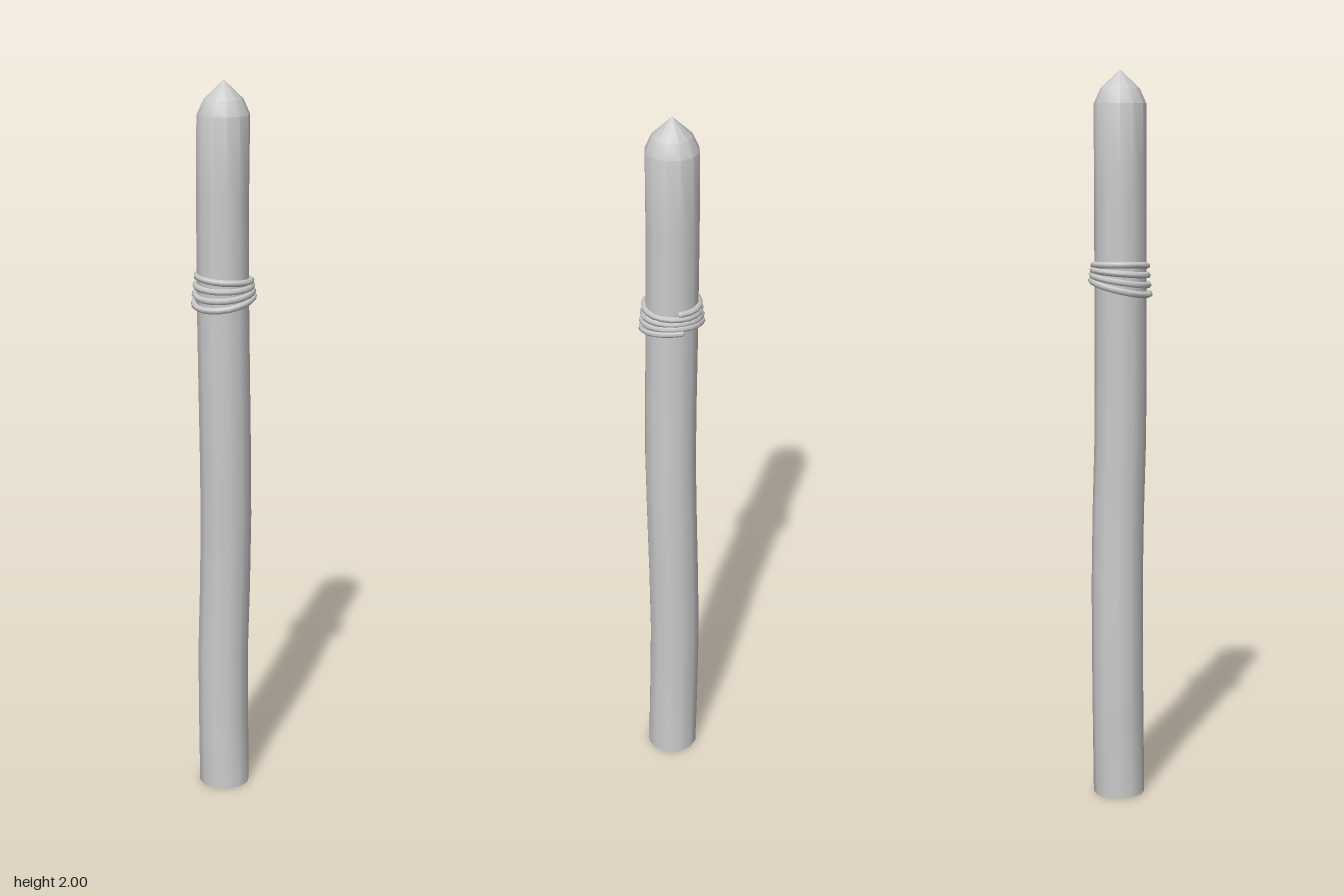
import * as THREE from 'three';
import { toCreasedNormals } from 'three/addons/utils/BufferGeometryUtils.js';

const grey = new THREE.MeshStandardMaterial({ color: 0xcccccc });

// Slight sideways sway of the trunk: [y, x offset, z offset]
const sway = new THREE.CatmullRomCurve3([
  [0, 0, -0.003], [0.4, -0.007, -0.004], [0.7, 0, -0.008], [1.0, 0.005, -0.002],
  [1.4, 0, 0.002], [1.7, -0.002, 0.002], [2.0, 0, 0],
].map(([y, x, z]) => new THREE.Vector3(x, y, z)));

// Round post with a chamfered shoulder and a pointed tip
function makePost() {
  const profile = [new THREE.Vector2(0, 0)];
  for (const y of [0, 0.2, 0.4, 0.6, 0.8, 1.0, 1.2, 1.4, 1.7, 1.91]) {
    profile.push(new THREE.Vector2(0.071, y));
  }
  profile.push(new THREE.Vector2(0.053, 1.95), new THREE.Vector2(0, 2));
  const geometry = new THREE.LatheGeometry(profile, 12);
  const pos = geometry.attributes.position;
  const curve = sway.getPoints(200);
  for (let i = 0; i < pos.count; i++) {
    const y = pos.getY(i);
    const c = curve.reduce((a, b) => (Math.abs(b.y - y) < Math.abs(a.y - y) ? b : a));
    pos.setX(i, pos.getX(i) + c.x);
    pos.setZ(i, pos.getZ(i) + c.z);
  }
  const mesh = new THREE.Mesh(toCreasedNormals(geometry, 0.56), grey);
  mesh.name = 'post';
  return mesh;
}

// Rope wound four times round the post, looser and more tilted lower down
function makeRope() {
  const turns = 4, steps = 64, points = [];
  for (let i = 0; i <= steps; i++) {
    const t = i / steps;
    const angle = t * turns * Math.PI * 2;
    const radius = 0.072 + 0.009 * t;
    const front = -Math.cos(angle);
    const y = 1.486 - 0.078 * t + front * (0.0065 - 0.028 * t);
    points.push(new THREE.Vector3(-Math.sin(angle) * radius, y, front * radius));
  }
  const path = new THREE.CatmullRomCurve3(points);
  const rope = new THREE.Group();
  rope.name = 'rope';
  const coil = new THREE.Mesh(new THREE.TubeGeometry(path, 80, 0.009, 6), grey);
  coil.name = 'ropeCoils';
  rope.add(coil);
  // Closed rope ends
  for (const t of [0, 1]) {
    const end = new THREE.Mesh(new THREE.SphereGeometry(0.009, 6, 4), grey);
    end.position.copy(path.getPoint(t));
    end.name = 'ropeEnd';
    rope.add(end);
  }
  return rope;
}

export function createModel() {
  const model = new THREE.Group();
  model.name = 'ropedPost';
  model.add(makePost(), makeRope());
  return model;
}
